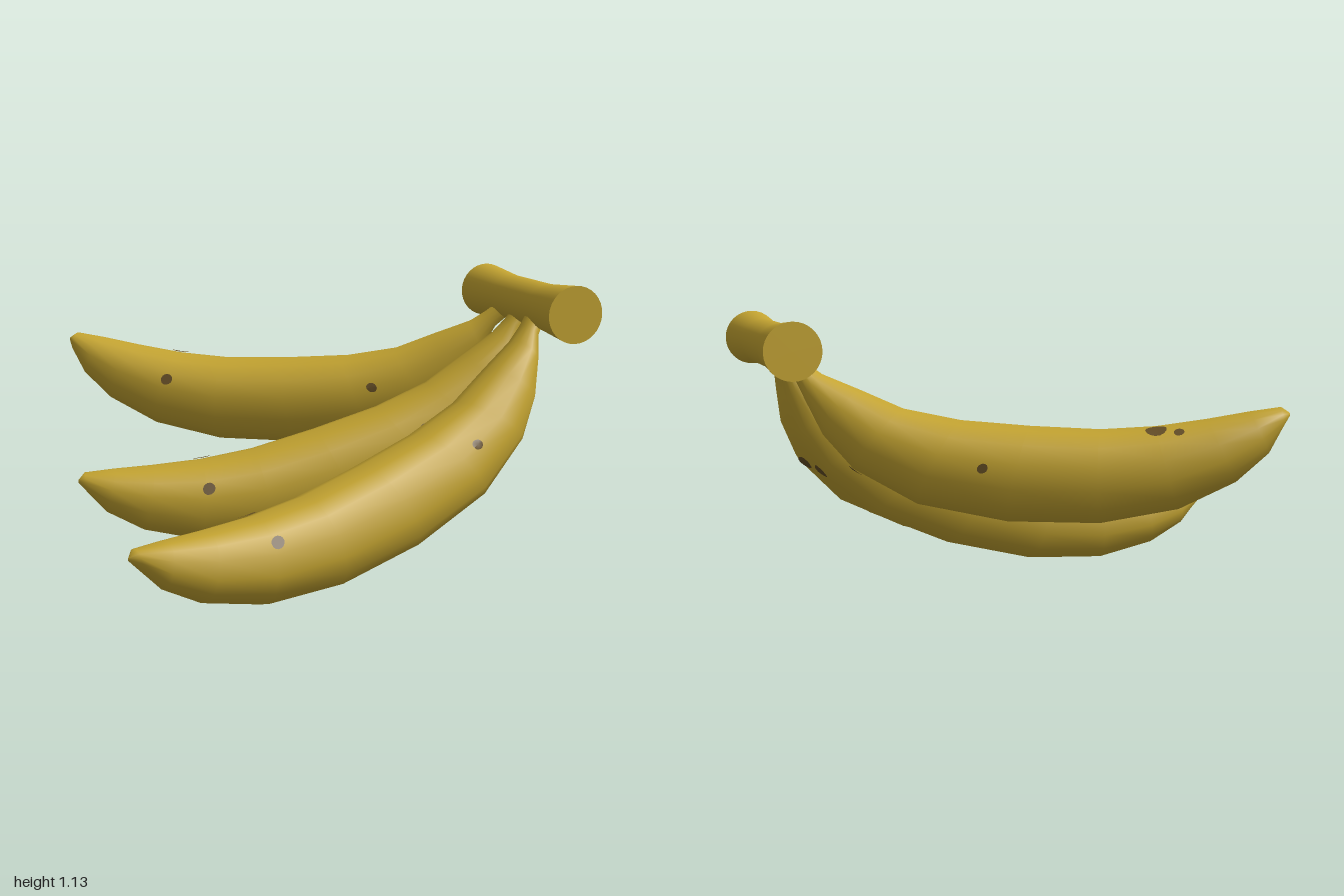
import * as THREE from 'three';

const SIDES = 14;
const DEG = Math.PI / 180;
const CHORD = 20.5 * DEG; // slope of the stem-to-tip line in the profile below

// Fruit profile, stem to tip: [top along, top height, bottom along, bottom height, half width]
const STATIONS = [
  [-0.02, 0.09, -0.08, 0.05, 0.045],
  [0.03, 0.02, -0.03, -0.03, 0.05],
  [0.08, -0.04, -0.01, -0.13, 0.08],
  [0.21, -0.14, 0.02, -0.28, 0.115],
  [0.36, -0.26, 0.10, -0.44, 0.145],
  [0.57, -0.365, 0.31, -0.64, 0.175],
  [0.83, -0.46, 0.64, -0.80, 0.185],
  [1.09, -0.545, 0.99, -0.90, 0.185],
  [1.30, -0.59, 1.30, -0.925, 0.17],
  [1.50, -0.615, 1.54, -0.88, 0.14],
  [1.66, -0.63, 1.69, -0.805, 0.10],
  [1.78, -0.645, 1.77, -0.72, 0.055],
  [1.805, -0.675, 1.805, -0.685, 0.004],
];

// Spots: [station, angle from the top, radius]
const SPOTS = [
  [8.0, -25, 0.041],
  [8.4, -39, 0.02],
  [7.95, 63, 0.025],
  [4.65, 77, 0.022],
  [4.0, -165, 0.035],
  [5.6, -85, 0.02],
];

// Corner of the fruit's grid
function corner(i, j) {
  const [ts, th, bs, bh, w] = STATIONS[i];
  const a = (j / SIDES) * Math.PI * 2;
  const round = (v) => Math.sign(v) * Math.abs(v) ** 0.92;
  const k = (1 + round(Math.cos(a))) / 2;
  return new THREE.Vector3(bs + (ts - bs) * k, bh + (th - bh) * k, -round(Math.sin(a)) * w);
}

// Any point on the fruit's skin
function skin(u, v) {
  const i = Math.min(Math.floor(u), STATIONS.length - 2);
  const j = Math.floor(v);
  const near = corner(i, j).lerp(corner(i, j + 1), v - j);
  const far = corner(i + 1, j).lerp(corner(i + 1, j + 1), v - j);
  return near.lerp(far, u - i);
}

function fruitGeometry() {
  const pos = [];
  const index = [];
  const n = STATIONS.length;
  for (let i = 0; i < n; i++) {
    for (let j = 0; j < SIDES; j++) pos.push(...corner(i, j).toArray());
  }
  for (let i = 0; i < n - 1; i++) {
    for (let j = 0; j < SIDES; j++) {
      const a = i * SIDES + j;
      const c = i * SIDES + ((j + 1) % SIDES);
      index.push(a, a + SIDES, c, a + SIDES, c + SIDES, c);
    }
  }
  // close the blunt tip
  const tip = (n - 1) * SIDES;
  for (let j = 1; j < SIDES - 1; j++) index.push(tip, tip + j + 1, tip + j);
  const geo = new THREE.BufferGeometry();
  geo.setAttribute('position', new THREE.Float32BufferAttribute(pos, 3));
  geo.setIndex(index);
  geo.computeVertexNormals();
  return geo.rotateZ(CHORD);
}

// Thin round patch laid on the skin
function spotGeometry(u, degrees, r) {
  const v = (degrees / 360) * SIDES;
  const e = 0.3;
  const along = skin(u + e, v).sub(skin(u - e, v)).divideScalar(2 * e);
  const around = skin(u, v + e).sub(skin(u, v - e)).divideScalar(2 * e);
  const lift = along.clone().cross(around).normalize().multiplyScalar(0.006);
  const geo = new THREE.CircleGeometry(1, 14);
  const p = geo.attributes.position;
  for (let i = 0; i < p.count; i++) {
    const q = skin(u + (p.getX(i) * r) / along.length(), v + (p.getY(i) * r) / around.length()).add(lift);
    p.setXYZ(i, q.x, q.y, q.z);
  }
  geo.computeVertexNormals();
  return geo.rotateZ(CHORD);
}

export function createModel() {
  const model = new THREE.Group();
  model.name = 'fruitBunch';
  const yellow = new THREE.MeshStandardMaterial({ color: 0xc4a431 });
  yellow.name = 'ripe yellow';
  const brown = new THREE.MeshStandardMaterial({ color: 0x664f26 });
  brown.name = 'spot brown';

  const add = (parent, name, geo, mat) => {
    const mesh = new THREE.Mesh(geo, mat);
    mesh.name = name;
    parent.add(mesh);
    return mesh;
  };

  // Stalk, flared at both ends
  const stalk = new THREE.Group();
  stalk.name = 'stalk';
  stalk.position.set(0.88, 1.022, 0);
  const outline = [[0.115, -0.27], [0.094, 0], [0.094, 0.37], [0.115, 0.63]];
  const body = new THREE.LatheGeometry(outline.map(([r, y]) => new THREE.Vector2(r, y)), 32);
  add(stalk, 'stalkBody', body.rotateX(Math.PI / 2), yellow);
  const cap = new THREE.CircleGeometry(0.115, 32);
  add(stalk, 'stalkFrontEnd', cap, yellow).position.z = 0.63;
  const backCap = add(stalk, 'stalkBackEnd', cap, yellow);
  backCap.position.z = -0.27;
  backCap.rotation.y = Math.PI;
  model.add(stalk);

  // Three fruits fanning out: stem position, heading (dx, dz), pitch and roll
  const fruit = fruitGeometry();
  const spots = SPOTS.map((s) => spotGeometry(...s));
  const fruits = [
    ['frontFruit', 0.8, 0.37, -1.73, 0.48, -20.5, 0.15],
    ['middleFruit', 0.82, 0.17, -1.8, -0.17, -18, 0],
    ['backFruit', 0.8, -0.02, -1.72, -0.87, -4.2, -0.07],
  ];
  for (const [name, x, z, dx, dz, pitch, roll] of fruits) {
    const group = new THREE.Group();
    group.name = name;
    group.position.set(x, 0.93, z);
    group.rotation.set(roll, Math.atan2(-dz, dx), pitch * DEG, 'YZX');
    add(group, 'skin', fruit, yellow);
    spots.forEach((s, i) => add(group, 'spot' + (i + 1), s, brown));
    model.add(group);
  }
  return model;
}
